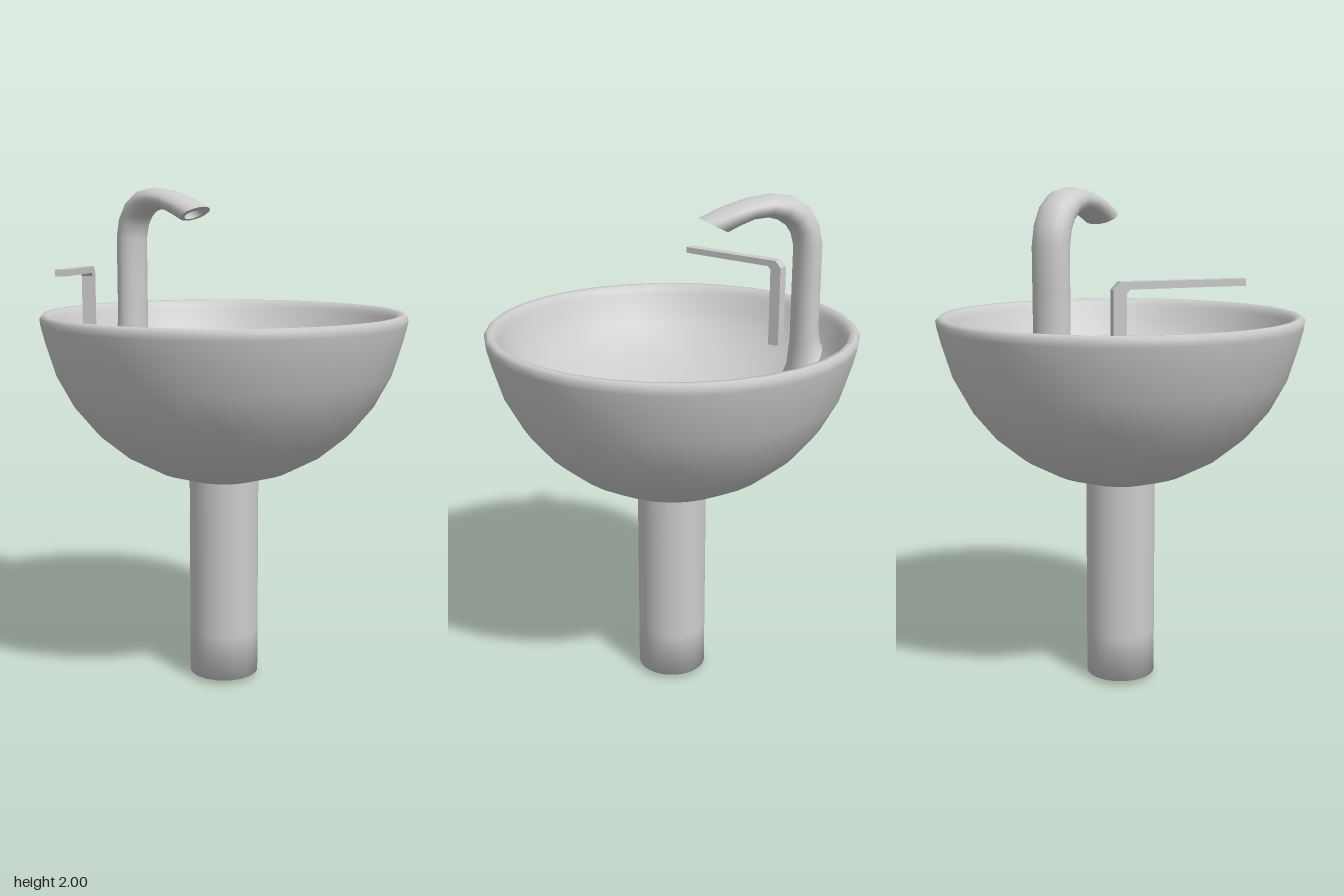
import * as THREE from 'three';

const material = new THREE.MeshStandardMaterial({ color: 0xcccccc, side: THREE.DoubleSide });

function addMesh(group, name, geometry) {
  const mesh = new THREE.Mesh(geometry, material);
  mesh.name = name;
  group.add(mesh);
  return mesh;
}

function lathe(points) {
  return new THREE.LatheGeometry(points.map(([r, y]) => new THREE.Vector2(r, y)), 32);
}

// Points on an elliptical bowl section, from the bottom (t = from) towards the rim
function bowlArc(radius, depth, centreY, from, to, steps) {
  return Array.from({ length: steps + 1 }, (_, i) => {
    const t = THREE.MathUtils.degToRad(from + ((to - from) * i) / steps);
    return [radius * Math.sin(t), centreY - depth * Math.cos(t)];
  });
}

// Skin a row of elliptical rings; each is [outerZ, outerY, innerZ, innerY, halfWidth]
function skinRings(rings, sides) {
  const positions = [];
  const index = [];
  rings.forEach(([oz, oy, iz, iy, w], k) => {
    for (let j = 0; j < sides; j++) {
      const a = (j / sides) * Math.PI * 2;
      const s = Math.sin(a) / 2;
      positions.push(w * Math.cos(a), (oy + iy) / 2 + (oy - iy) * s, (oz + iz) / 2 + (oz - iz) * s);
      if (k === rings.length - 1) continue;
      const p = k * sides + j;
      const q = k * sides + ((j + 1) % sides);
      index.push(p, q, q + sides, p, q + sides, p + sides);
    }
  });
  const geometry = new THREE.BufferGeometry();
  geometry.setAttribute('position', new THREE.Float32BufferAttribute(positions, 3));
  geometry.setIndex(index);
  geometry.computeVertexNormals();
  return geometry;
}

export function createModel() {
  const sink = new THREE.Group();
  sink.name = 'pedestalSink';

  // Basin: round outside, rolled rim, shallower inside with a sunken drain
  const outside = bowlArc(0.72, 0.72, 1.546, 11.25, 78.75, 6);
  const inside = bowlArc(0.68, 0.43, 1.55, 12, 80, 8).reverse();
  addMesh(sink, 'basin', lathe([
    ...outside,
    [0.722, 1.47], [0.725, 1.495], [0.712, 1.51], [0.69, 1.508], [0.68, 1.49],
    ...inside,
    [0.14, 1.02], [0, 1.01],
  ]));

  // Pedestal with a slightly domed foot
  addMesh(sink, 'pedestal', lathe([[0, 0], [0.14, 0.016], [0.14, 0.2], [0.14, 0.84]]));

  // Faucet: flared base, upright column, curved spout and hollow nozzle
  addMesh(sink, 'faucet', skinRings([
    [-0.64, 1.37, -0.47, 1.22, 0.11],
    [-0.62, 1.4, -0.49, 1.29, 0.08],
    [-0.61, 1.46, -0.5, 1.4, 0.07],
    [-0.61, 1.65, -0.5, 1.65, 0.07],
    [-0.61, 1.8, -0.5, 1.79, 0.07],
    [-0.592, 1.88, -0.487, 1.84, 0.07],
    [-0.55, 1.945, -0.463, 1.875, 0.07],
    [-0.485, 1.988, -0.425, 1.9, 0.07],
    [-0.4, 2, -0.38, 1.912, 0.07],
    [-0.3, 1.987, -0.325, 1.908, 0.07],
    [-0.2, 1.958, -0.27, 1.888, 0.07],
    [-0.11, 1.92, -0.22, 1.865, 0.065],
    [-0.11, 1.92, -0.22, 1.865, 0.065],
    [-0.135, 1.907, -0.205, 1.872, 0.042],
    [-0.135, 1.907, -0.205, 1.872, 0.042],
    [-0.165, 1.93, -0.225, 1.9, 0.036],
    [-0.195, 1.915, -0.195, 1.915, 0],
  ], 20));

  // Lever: L-shaped bar with a clipped corner, set at an angle
  const profile = new THREE.Shape([
    [0, 1.32], [0.048, 1.32], [0.048, 1.642], [0.06, 1.656], [0.473, 1.662],
    [0.473, 1.687], [0.025, 1.682], [0, 1.655],
  ].map(([s, y]) => new THREE.Vector2(s, y)));
  const bar = new THREE.ExtrudeGeometry(profile, { depth: 0.046, bevelEnabled: false });
  bar.translate(0, 0, -0.023);
  const lever = addMesh(sink, 'lever', bar);
  lever.position.set(-0.235, 0, -0.55);
  lever.rotation.y = Math.atan2(-0.295, -0.37);

  return sink;
}
